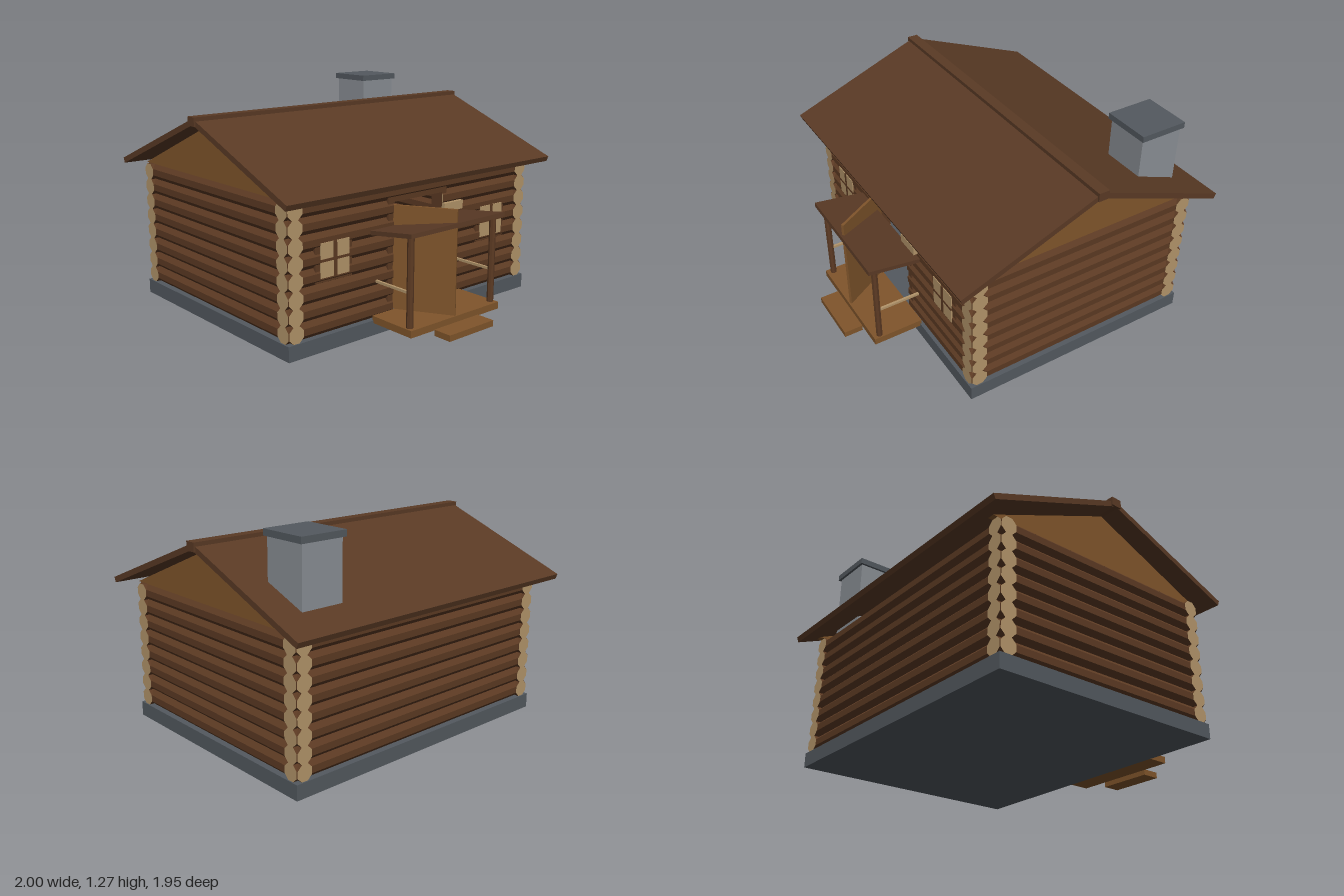
import * as THREE from 'three';

const mat = (name, color, side = THREE.FrontSide) => {
  const m = new THREE.MeshStandardMaterial({ color, side });
  m.name = name;
  return m;
};

export function createModel() {
  const logBrown = mat('log brown', 0x5c3a23);
  const roofBrown = mat('roof brown', 0x5a3a25);
  const plank = mat('plank brown', 0x80552b);
  const cream = mat('cut wood cream', 0xb3956a);
  const stone = mat('dark stone', 0x53595f);
  const chimneyGrey = mat('chimney grey', 0x8a8f95);
  for (const m of [logBrown, cream]) m.flatShading = true;

  const model = new THREE.Group();
  model.name = 'logCabin';

  // Box given by its minimum and maximum on each axis
  const box = (name, m, x0, x1, y0, y1, z0, z1, parent = model) => {
    const mesh = new THREE.Mesh(new THREE.BoxGeometry(x1 - x0, y1 - y0, z1 - z0), m);
    mesh.position.set((x0 + x1) / 2, (y0 + y1) / 2, (z0 + z1) / 2);
    mesh.name = name;
    parent.add(mesh);
    return mesh;
  };

  box('foundation', stone, -0.915, 0.915, 0, 0.085, -0.87, 0.57);

  // Octagonal logs with pale cut ends
  const ROWS = 8, H = 0.0915, R = H / 2 / Math.cos(Math.PI / 8);
  const walls = new THREE.Group();
  walls.name = 'logWalls';
  model.add(walls);
  const log = (name, axis, from, to, y, offset) => {
    const g = new THREE.CylinderGeometry(R, R, to - from, 8);
    g.rotateY(Math.PI / 8);
    if (axis === 'x') g.rotateZ(Math.PI / 2);
    else g.rotateX(Math.PI / 2);
    const mesh = new THREE.Mesh(g, [logBrown, cream, cream]);
    const mid = (from + to) / 2;
    if (axis === 'x') mesh.position.set(mid, y, offset);
    else mesh.position.set(offset, y, mid);
    mesh.name = name;
    walls.add(mesh);
  };
  for (let i = 0; i < ROWS; i++) {
    const y = 0.085 + H * (i + 0.5);
    log('backLog', 'x', -0.908, 0.908, y, -0.814);
    if (i < 7) {
      log('frontLogRight', 'x', -0.908, -0.19, y, 0.514);
      log('frontLogLeft', 'x', 0.19, 0.908, y, 0.514);
    } else log('frontLog', 'x', -0.908, 0.908, y, 0.514);
    for (const s of [-1, 1]) log('sideLog', 'z', -0.863, 0.563, y, s * 0.859);
  }

  // Door frame sits just behind the bulge of the logs
  for (const s of [-1, 1]) {
    const x = s * 0.207;
    box('doorJamb', logBrown, x - 0.018, x + 0.018, 0.085, 0.75, 0.47, 0.552);
  }
  box('doorLintel', logBrown, -0.225, 0.225, 0.715, 0.75, 0.47, 0.552);

  // Open door
  const door = new THREE.Group();
  door.name = 'openDoor';
  door.position.set(-0.19, 0, 0.53);
  door.rotation.y = -Math.atan2(0.32, 0.188);
  model.add(door);
  box('doorLeaf', plank, 0, 0.371, 0.11, 0.7, -0.008, 0.008, door);

  // Windows: four panes with crossing bars and a frame
  for (const s of [-1, 1]) {
    const win = new THREE.Group();
    win.name = 'window';
    win.position.set(s * 0.605, 0.488, 0);
    model.add(win);
    box('windowFrame', logBrown, -0.122, 0.122, -0.12, 0.115, 0.5, 0.552, win);
    for (const px of [-1, 1]) for (const py of [-1, 1]) {
      const cx = px * 0.053, cy = py * 0.05;
      box('windowPane', cream, cx - 0.042, cx + 0.042, cy - 0.043, cy + 0.043, 0.557, 0.564, win);
    }
    box('windowBarUpright', logBrown, -0.011, 0.011, -0.093, 0.093, 0.556, 0.566, win);
    box('windowBarLevel', logBrown, -0.095, 0.095, -0.007, 0.007, 0.556, 0.566, win);
  }

  // Small board beside the door
  box('wallBoard', cream, 0.18, 0.33, 0.605, 0.655, 0.56, 0.583);

  // Porch
  box('porchDeck', plank, -0.345, 0.342, 0.07, 0.11, 0.56, 0.86);
  box('porchStep', plank, -0.173, 0.17, 0.04, 0.075, 0.86, 0.972);
  for (const s of [-1, 1]) {
    const post = new THREE.Mesh(new THREE.CylinderGeometry(0.019, 0.019, 0.49, 8), logBrown);
    post.position.set(s * 0.317, 0.355, 0.82);
    post.name = 'porchPost';
    model.add(post);
    const rx = s * 0.317;
    box('porchRail', cream, rx - 0.007, rx + 0.007, 0.293, 0.307, 0.56, 0.805);
  }
  const porchRoof = box('porchRoof', roofBrown, -0.362, 0.357, 0.586, 0.61, 0.56, 0.87);
  porchRoof.rotation.x = -0.14;

  // Gables
  const tri = new THREE.Shape();
  tri.moveTo(-0.74, 0.815);
  tri.lineTo(0.74, 0.815);
  tri.lineTo(0, 1.125);
  tri.closePath();
  for (const s of [-1, 1]) {
    const g = new THREE.ExtrudeGeometry(tri, { depth: 0.04, bevelEnabled: false });
    g.translate(0, 0, -0.02);
    g.rotateY(Math.PI / 2);
    const gable = new THREE.Mesh(g, plank);
    gable.position.set(s * 0.86, 0, -0.15);
    gable.name = 'gable';
    model.add(gable);
  }

  // Roof slopes, mirrored about the ridge
  for (const s of [-1, 1]) {
    const slope = new THREE.Shape();
    slope.moveTo(0, 1.165);
    slope.lineTo(s * 0.825, 0.842);
    slope.lineTo(s * 0.813, 0.812);
    slope.lineTo(0, 1.131);
    slope.closePath();
    const g = new THREE.ExtrudeGeometry(slope, { depth: 1.98, bevelEnabled: false });
    g.translate(0, 0, -0.99);
    g.rotateY(-Math.PI / 2);
    const roof = new THREE.Mesh(g, roofBrown);
    roof.position.z = -0.15;
    roof.name = s > 0 ? 'roofFront' : 'roofBack';
    model.add(roof);
  }
  box('ridgeBeam', roofBrown, -1, 1, 1.125, 1.175, -0.182, -0.118);

  // Chimney
  box('chimney', chimneyGrey, 0.56, 0.815, 0.82, 1.24, -0.797, -0.54);
  box('chimneyCap', stone, 0.545, 0.83, 1.24, 1.275, -0.811, -0.527);

  return model;
}
